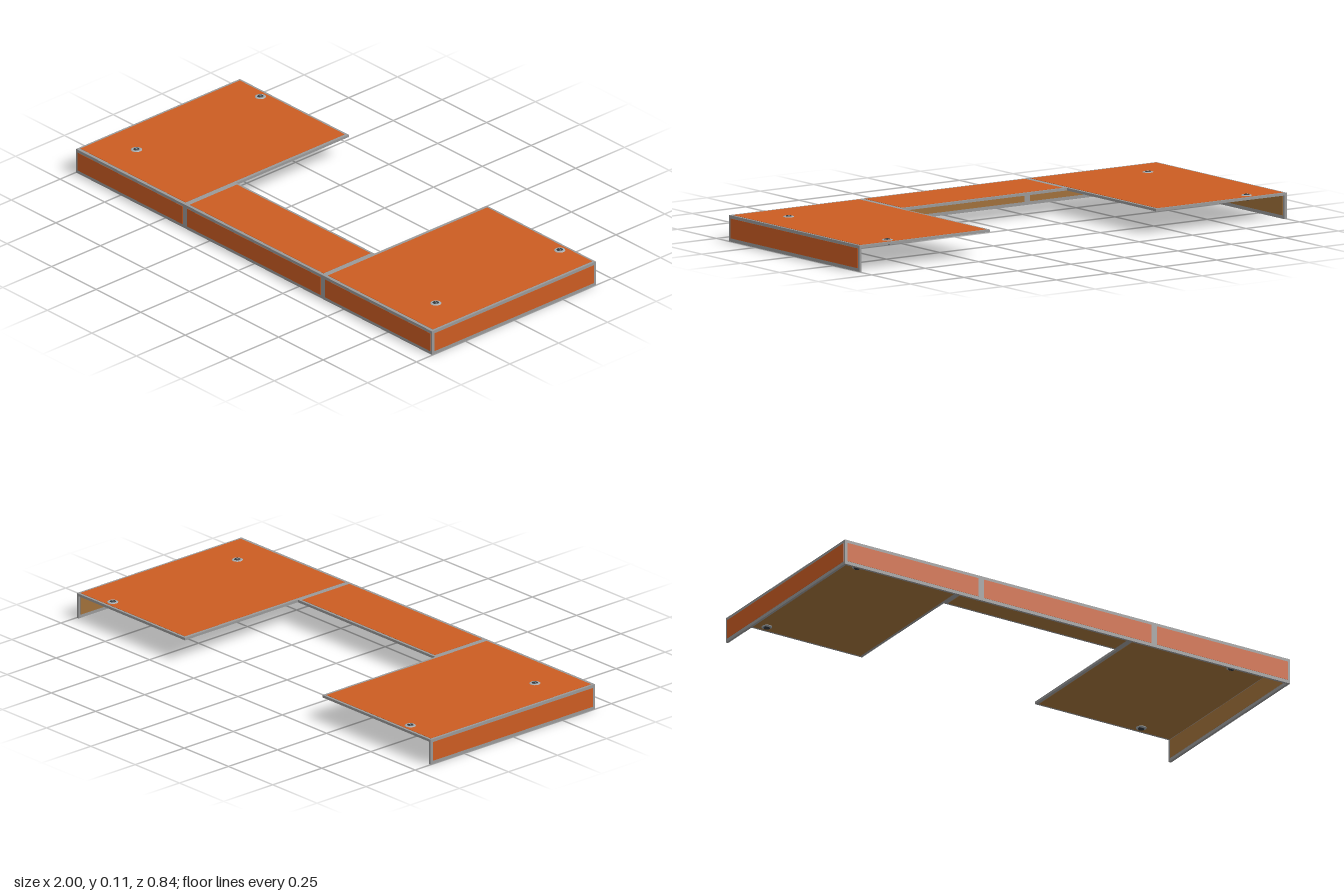
import * as THREE from 'three';

const H = 0.101;      // overall height of the deck
const T = 0.01;       // sheet thickness
const SKIN = 0.001;   // painted panel thickness

export function createModel() {
  const mat = (name, color) => {
    const m = new THREE.MeshStandardMaterial({ color });
    m.name = name;
    return m;
  };
  const orange = mat('orange panel', 0xcb5c22);
  const wood = mat('wood lining', 0xa0703a);
  const grey = mat('grey trim', 0x999999);
  const steel = mat('steel washer', 0xa3abb0);
  const dark = mat('dark bolt', 0x33383c);

  const model = new THREE.Group();
  model.name = 'deskShell';

  // Box given by its minimum and maximum corners
  const box = (name, material, [x0, x1], [y0, y1], [z0, z1], parent = model) => {
    const mesh = new THREE.Mesh(new THREE.BoxGeometry(x1 - x0, y1 - y0, z1 - z0), material);
    mesh.position.set((x0 + x1) / 2, (y0 + y1) / 2, (z0 + z1) / 2);
    mesh.name = name;
    parent.add(mesh);
  };
  const flip = ([a, b], s) => (s > 0 ? [a, b] : [-b, -a]);

  // Sheets: the grey edges remain visible around the coloured panels
  const top = [H - T, H];
  const skirtY = [0, H - T];
  const panelY = [0.013, 0.089];
  const over = [H, H + SKIN];
  const under = [H - T - SKIN, H - T];
  const frontOut = [0.419, 0.42];
  const frontIn = [0.408, 0.409];

  // Centre bridge
  box('bridgeTop', grey, [-0.388, 0.388], top, [0.155, 0.419]);
  box('bridgeTopPanel', orange, [-0.375, 0.375], over, [0.165, 0.406]);
  box('bridgeLining', wood, [-0.375, 0.375], under, [0.165, 0.407]);
  box('frontSkirt', grey, [-0.999, 0.999], skirtY, [0.409, 0.419]);
  box('bridgeFrontPanel', orange, [-0.375, 0.375], panelY, frontOut);
  box('bridgeFrontLining', wood, [-0.375, 0.375], panelY, frontIn);

  // Mirrored wings
  for (const s of [1, -1]) {
    const wing = new THREE.Group();
    wing.name = s > 0 ? 'leftWing' : 'rightWing';
    model.add(wing);
    const part = (name, material, x, y, z) => box(name, material, flip(x, s), y, z, wing);

    part('wingTop', grey, [0.388, 0.999], top, [-0.42, 0.419]);
    part('wingTopPanel', orange, [0.4, 0.989], over, [-0.41, 0.406]);
    part('wingLining', wood, [0.4, 0.987], under, [-0.41, 0.407]);
    part('wingFrontPanel', orange, [0.4, 0.989], panelY, frontOut);
    part('wingFrontLining', wood, [0.4, 0.987], panelY, frontIn);
    part('sideSkirt', grey, [0.989, 0.999], skirtY, [-0.42, 0.409]);
    part('sidePanel', orange, [0.999, 1], panelY, [-0.409, 0.408]);
    part('sideLining', wood, [0.988, 0.989], panelY, [-0.409, 0.406]);

    // Bolts through the wing top
    for (const z of [-0.38, 0.255]) {
      const bolt = new THREE.Group();
      bolt.name = 'bolt';
      bolt.position.set(s * 0.84, H, z);
      wing.add(bolt);
      const add = (name, geometry, material, y) => {
        const mesh = new THREE.Mesh(geometry, material);
        mesh.name = name;
        mesh.position.y = y;
        bolt.add(mesh);
      };
      add('washer', new THREE.CylinderGeometry(0.018, 0.023, 0.003, 16), steel, 0.0015);
      add('boltHead', new THREE.CylinderGeometry(0.009, 0.013, 0.003, 12), dark, 0.004);
      add('boltSlot', new THREE.BoxGeometry(0.012, 0.0006, 0.003), steel, 0.0056);
      add('lowerWasher', new THREE.CylinderGeometry(0.02, 0.02, 0.003, 16), steel, -T - 0.0015);
      add('nut', new THREE.CylinderGeometry(0.013, 0.013, 0.005, 6), dark, -T - 0.005);
    }
  }
  return model;
}
